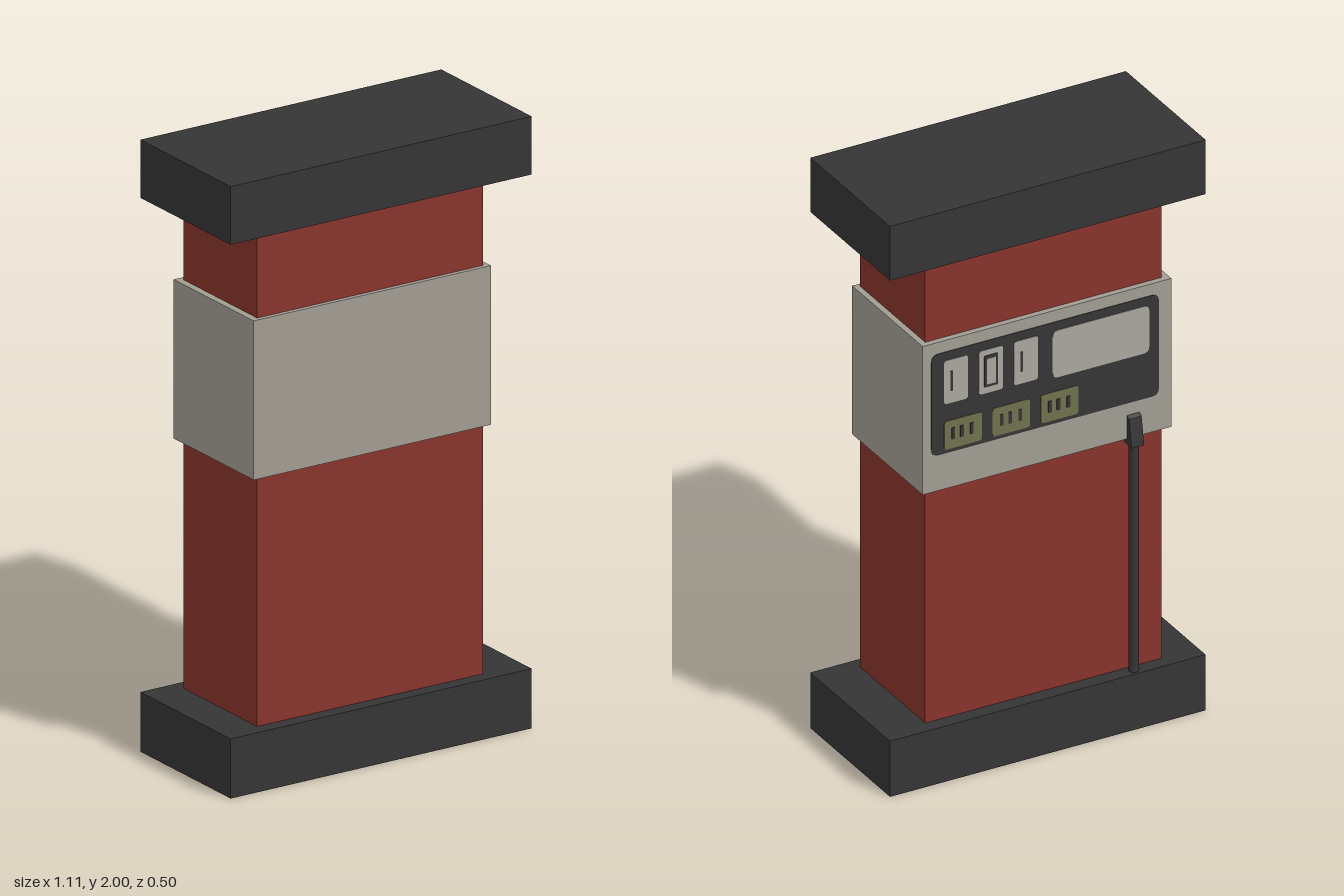
import * as THREE from 'three';

const mat = (name, color) => {
  const m = new THREE.MeshStandardMaterial({ color });
  m.name = name;
  return m;
};

export function createModel() {
  const red = mat('red paint', 0x87332c);
  const grey = mat('warm grey', 0xa19d93);
  const dark = mat('charcoal', 0x353535);
  const pale = mat('pale display', 0xa9a79d);
  const olive = mat('olive display', 0x70704e);

  const model = new THREE.Group();
  model.name = 'fuelPump';

  const add = (name, geometry, material, parent = model) => {
    const mesh = new THREE.Mesh(geometry, material);
    mesh.name = name;
    parent.add(mesh);
    return mesh;
  };

  // Box given by its limits
  const box = (name, x0, x1, y0, y1, z0, z1, material) =>
    add(name, new THREE.BoxGeometry(x1 - x0, y1 - y0, z1 - z0), material)
      .position.set((x0 + x1) / 2, (y0 + y1) / 2, (z0 + z1) / 2);

  // Cabinet
  box('base', -0.555, 0.555, 0, 0.195, -0.247, 0.25, dark);
  box('body', -0.427, 0.405, 0.195, 1.81, -0.2, 0.205, red);
  box('displayBand', -0.45, 0.425, 1.01, 1.53, -0.22, 0.22, grey);
  box('canopy', -0.555, 0.555, 1.81, 2, -0.247, 0.25, dark);

  // Thin rounded plate on the back of the band; layer sets its height
  const panel = new THREE.Group();
  panel.name = 'controlPanel';
  model.add(panel);
  const plate = (name, x0, x1, y0, y1, r, layer, material) => {
    const s = new THREE.Shape();
    s.moveTo(x0 + r, y0);
    s.lineTo(x1 - r, y0);
    s.quadraticCurveTo(x1, y0, x1, y0 + r);
    s.lineTo(x1, y1 - r);
    s.quadraticCurveTo(x1, y1, x1 - r, y1);
    s.lineTo(x0 + r, y1);
    s.quadraticCurveTo(x0, y1, x0, y1 - r);
    s.lineTo(x0, y0 + r);
    s.quadraticCurveTo(x0, y0, x0 + r, y0);
    const depth = 0.002;
    const geometry = new THREE.ExtrudeGeometry(s, { depth, bevelEnabled: false, curveSegments: 4 });
    add(name, geometry, material, panel).position.z = -0.22 - depth * layer;
  };

  plate('panelBack', -0.405, 0.395, 1.135, 1.49, 0.025, 1, dark);
  plate('largeDisplay', -0.37, -0.03, 1.295, 1.46, 0.02, 2, pale);

  for (let i = 0; i < 3; i++) {
    // Tall counter window with a dark inner frame
    const x = 0.31 - i * 0.123;
    plate('counterWindow', x - 0.042, x + 0.042, 1.308, 1.46, 0.01, 2, pale);
    if (i === 1) {
      plate('counterFrame', x - 0.024, x + 0.024, 1.33, 1.44, 0.004, 3, dark);
      plate('counterCentre', x - 0.016, x + 0.016, 1.34, 1.43, 0.004, 4, pale);
    } else {
      plate('counterMark', x + 0.012, x + 0.02, 1.35, 1.42, 0.002, 3, dark);
    }

    // Low olive window with dark marks
    const ox = 0.285 - i * 0.17;
    plate('gradeWindow', ox - 0.066, ox + 0.066, 1.148, 1.247, 0.01, 2, olive);
    for (const dx of [-0.03, 0.005, 0.035]) {
      plate('gradeMark', ox + dx - 0.006, ox + dx + 0.006, 1.18, 1.22, 0.002, 3, dark);
    }
  }

  // Hose rising from the base to the nozzle
  add('hose', new THREE.CylinderGeometry(0.016, 0.016, 0.82, 12), dark)
    .position.set(-0.315, 0.595, -0.223);

  // Nozzle: side profile (z, y) swept across x
  const side = new THREE.Shape([
    [-0.2, 1.008], [-0.2, 0.998], [-0.222, 0.992], [-0.249, 0.99],
    [-0.247, 1.01], [-0.234, 1.085], [-0.221, 1.093], [-0.221, 1.008],
  ].map(([z, y]) => new THREE.Vector2(-z, y)));
  const nozzle = new THREE.ExtrudeGeometry(side, { depth: 0.044, bevelEnabled: false });
  nozzle.rotateY(Math.PI / 2);
  add('nozzle', nozzle, dark).position.x = -0.337;

  return model;
}
